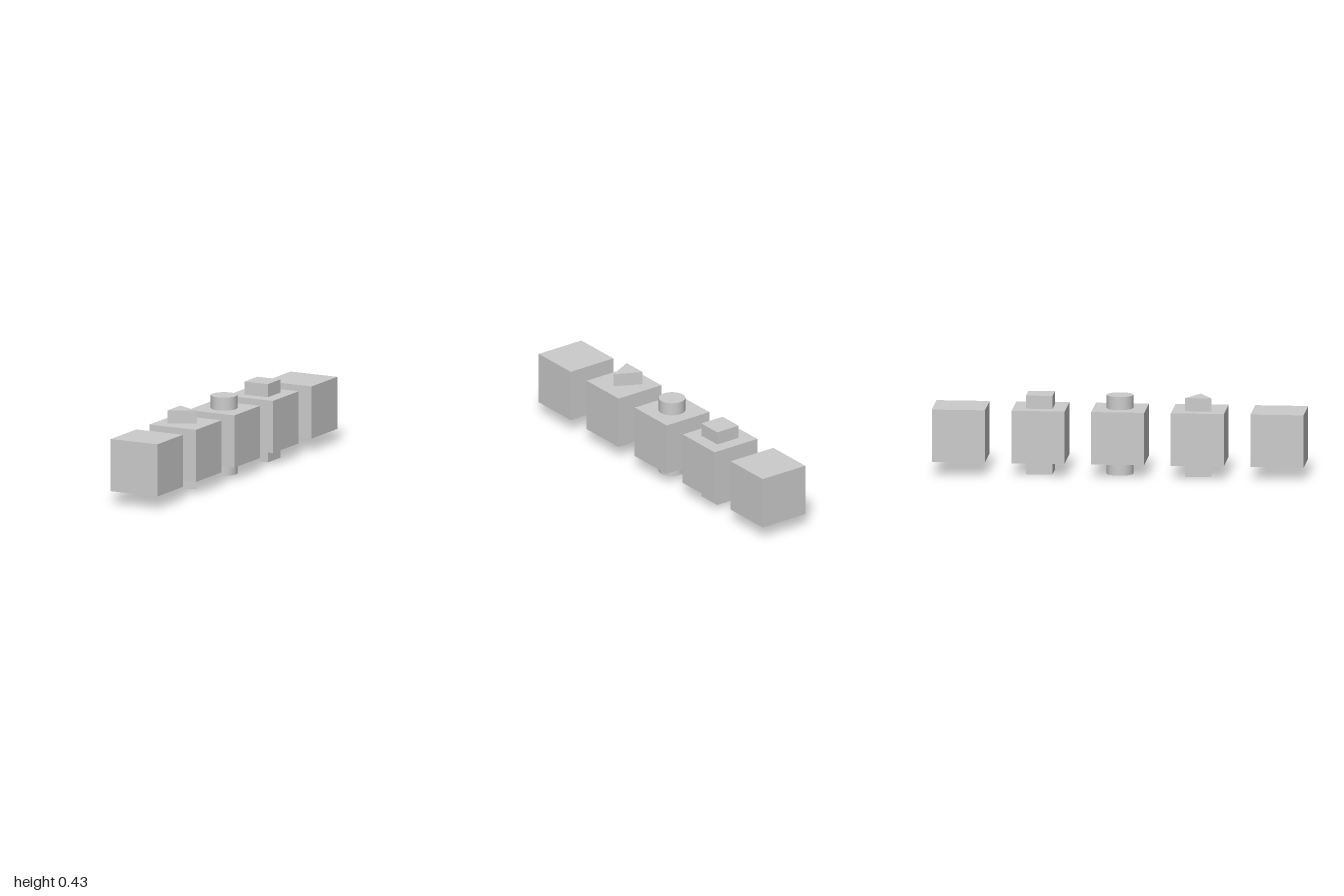
import * as THREE from 'three';

const U = 2 / 7;          // cube edge
const R = U / 4;          // half width of a peg
const PITCH = U * 1.5;    // spacing between cubes
const HEIGHT = U * 1.5;   // full length of a peg

// Triangular prism, standing along y, with its point towards +x
function triangularPrism() {
  const shape = new THREE.Shape([
    new THREE.Vector2(-R, -R),
    new THREE.Vector2(R, 0),
    new THREE.Vector2(-R, R),
  ]);
  return new THREE.ExtrudeGeometry(shape, { depth: HEIGHT, bevelEnabled: false })
    .translate(0, 0, -HEIGHT / 2)
    .rotateX(-Math.PI / 2);
}

export function createModel() {
  const model = new THREE.Group();
  model.name = 'blockRow';
  const material = new THREE.MeshStandardMaterial({ color: 0xcccccc });

  const add = (name, geometry, z) => {
    const mesh = new THREE.Mesh(geometry, material);
    mesh.name = name;
    mesh.position.set(0, HEIGHT / 2, z);
    model.add(mesh);
  };

  // Five equal cubes in a row
  const cube = new THREE.BoxGeometry(U, U, U);
  ['backEndBlock', 'squarePegBlock', 'roundPegBlock', 'trianglePegBlock', 'frontEndBlock']
    .forEach((name, i) => add(name, cube, (i - 2) * PITCH));

  // Pegs passing vertically through the three inner cubes
  add('squarePeg', new THREE.BoxGeometry(2 * R, HEIGHT, 2 * R), -PITCH);
  add('roundPeg', new THREE.CylinderGeometry(R, R, HEIGHT, 48), 0);
  add('trianglePeg', triangularPrism(), PITCH);

  return model;
}
